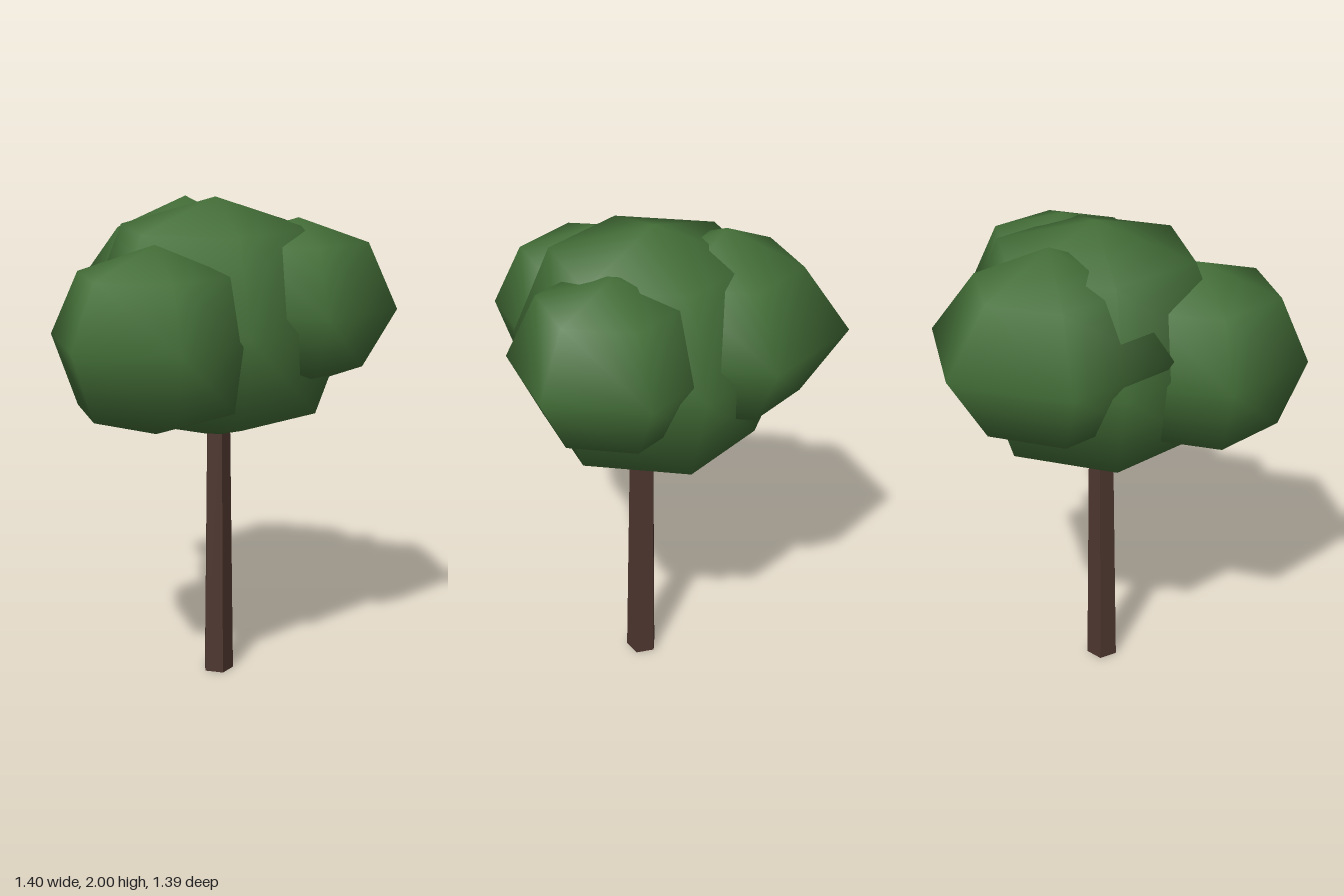
import * as THREE from 'three';
import { mergeVertices } from 'three/addons/utils/BufferGeometryUtils.js';

// Six-sided leaf clump: profile rings are [radius, y], bottom to top
function clumpGeometry(rings, turn) {
  const points = rings.map(([r, y]) => new THREE.Vector2(r, y));
  let geo = new THREE.LatheGeometry(points, 6, Math.PI / 2 + turn);
  geo.deleteAttribute('normal');
  geo.deleteAttribute('uv');
  geo = mergeVertices(geo, 1e-4);
  geo.computeVertexNormals();
  return geo;
}

export function createModel() {
  const tree = new THREE.Group();
  tree.name = 'tree';
  const leafGreen = new THREE.MeshStandardMaterial({ color: 0x446f38 });
  leafGreen.name = 'leafGreen';
  const barkBrown = new THREE.MeshStandardMaterial({ color: 0x4e362f, flatShading: true });
  barkBrown.name = 'barkBrown';

  // Tapered five-sided trunk with a flat face to the front
  const trunk = new THREE.Mesh(new THREE.CylinderGeometry(0.05, 0.066, 1.2, 5, 1, false, Math.PI), barkBrown);
  trunk.name = 'trunk';
  trunk.position.set(-0.013, 0.6, -0.043);
  tree.add(trunk);

  // Overlapping leaf clumps
  const clumps = [
    { name: 'mainLeaves', x: -0.03, z: -0.07, turn: 0,
      rings: [[0, 1.02], [0.42, 1.14], [0.55, 1.51], [0.4, 1.88], [0, 2]] },
    { name: 'backRightLeaves', x: -0.22, z: -0.28, turn: 0,
      rings: [[0, 1.19], [0.31, 1.31], [0.485, 1.59], [0.3, 1.84], [0, 1.98]] },
    { name: 'leftLeaves', x: 0.295, z: -0.14, turn: 0,
      rings: [[0, 1.23], [0.27, 1.33], [0.405, 1.57], [0.285, 1.83], [0, 1.92]] },
    { name: 'frontLeaves', x: -0.16, z: 0.32, turn: 0.03,
      rings: [[0, 1.11], [0.32, 1.21], [0.425, 1.49], [0.31, 1.74], [0, 1.85]] },
  ];
  for (const { name, x, z, turn, rings } of clumps) {
    const clump = new THREE.Mesh(clumpGeometry(rings, turn), leafGreen);
    clump.name = name;
    clump.position.set(x, 0, z);
    tree.add(clump);
  }
  return tree;
}
